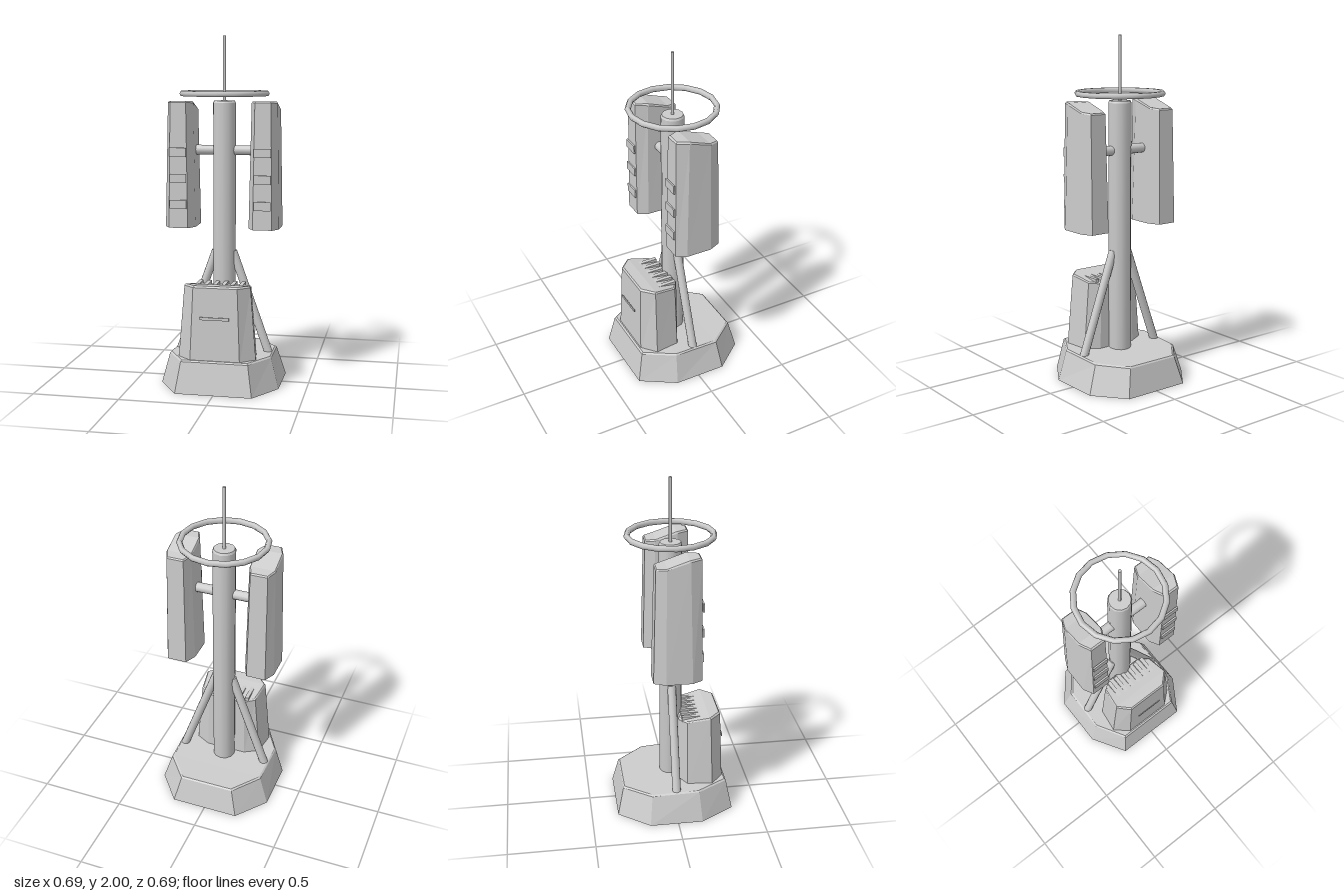
import * as THREE from 'three';

const gray = new THREE.MeshStandardMaterial({ color: 0xcccccc });
gray.name = 'light gray';

function add(parent, name, geometry, x = 0, y = 0, z = 0) {
  const mesh = new THREE.Mesh(geometry, gray);
  mesh.name = name;
  mesh.position.set(x, y, z);
  parent.add(mesh);
  return mesh;
}

// Faceted solid lofted through octagonal sections.
// A section is four rows from back to front: [z, half width, y].
function loft(sections) {
  const n = 8;
  const pos = [], index = [];
  for (const rows of sections) {
    for (const [z, w, y] of rows) pos.push(-w, y, z);
    for (const [z, w, y] of [...rows].reverse()) pos.push(w, y, z);
  }
  const quad = (a, b, c, d) => index.push(a, b, c, a, c, d);
  for (let s = 0; s < sections.length - 1; s++) {
    for (let i = 0; i < n; i++) {
      const j = (i + 1) % n, o = s * n;
      quad(o + i, o + j, o + n + j, o + n + i);
    }
  }
  const top = (sections.length - 1) * n;
  for (let i = 0; i < 3; i++) {
    quad(top + i, top + i + 1, top + 6 - i, top + 7 - i);
    quad(7 - i, 6 - i, i + 1, i);
  }
  const g = new THREE.BufferGeometry();
  g.setAttribute('position', new THREE.Float32BufferAttribute(pos, 3));
  g.setIndex(index);
  const flat = g.toNonIndexed();
  flat.computeVertexNormals();
  return flat;
}

// Round bar between two points
function bar(parent, name, a, b, radius) {
  const dir = b.clone().sub(a);
  const mesh = add(parent, name, new THREE.CylinderGeometry(radius, radius, dir.length(), 12));
  mesh.position.copy(a).addScaledVector(dir, 0.5);
  mesh.quaternion.setFromUnitVectors(new THREE.Vector3(0, 1, 0), dir.normalize());
  return mesh;
}

export function createModel() {
  const model = new THREE.Group();
  model.name = 'antennaTower';

  // Sloped octagonal foot
  add(model, 'base', loft([
    [[-0.343, 0.2, 0], [-0.165, 0.343, 0], [0.145, 0.343, 0], [0.343, 0.22, 0]],
    [[-0.306, 0.162, 0.16], [-0.147, 0.29, 0.165], [0.13, 0.297, 0.176], [0.308, 0.192, 0.178]],
    [[-0.298, 0.155, 0.168], [-0.142, 0.28, 0.172], [0.127, 0.289, 0.184], [0.298, 0.187, 0.186]],
  ]));

  // Equipment cabinet with sloped lid, cooling fins and a front slot
  const cabinet = new THREE.Group();
  cabinet.name = 'cabinet';
  model.add(cabinet);
  add(cabinet, 'cabinetBody', loft([
    [[0.03, 0.12, 0.16], [0.075, 0.205, 0.16], [0.22, 0.225, 0.16], [0.292, 0.143, 0.16]],
    [[0.035, 0.112, 0.57], [0.075, 0.172, 0.575], [0.211, 0.19, 0.598], [0.277, 0.126, 0.6]],
    [[0.042, 0.106, 0.577], [0.08, 0.165, 0.582], [0.206, 0.184, 0.607], [0.269, 0.12, 0.61]],
  ]));
  for (let i = 0; i < 6; i++) {
    add(cabinet, 'coolingFin', new THREE.BoxGeometry(0.023, 0.03, 0.115), (i - 2.5) * 0.05, 0.583, 0.108);
  }
  add(cabinet, 'frontSlot', new THREE.BoxGeometry(0.166, 0.016, 0.005), 0, 0.43, 0.299);

  // Central pole with chamfered top, and whip mast
  const profile = [[0, 0.16], [0.066, 0.16], [0.066, 1.622]].map(p => new THREE.Vector2(...p));
  add(model, 'pole', new THREE.LatheGeometry(profile, 12));
  add(model, 'poleRim', new THREE.CylinderGeometry(0.06, 0.066, 0.012, 12), 0, 1.628, 0);
  add(model, 'mast', new THREE.CylinderGeometry(0.009, 0.009, 0.38, 10), 0, 1.81, 0);

  // Halo ring
  const ring = add(model, 'ring', new THREE.TorusGeometry(0.243, 0.017, 6, 16), 0, 1.675, 0);
  ring.rotation.x = Math.PI / 2;

  // Horizontal support between the panels
  bar(model, 'crossBar', new THREE.Vector3(-0.18, 1.352, 0), new THREE.Vector3(0.18, 1.352, 0), 0.028);

  // Tapered antenna panel with stepped top
  const panelGeometry = loft([
    [[-0.137, 0.056, 0.913], [-0.07, 0.087, 0.913], [0.08, 0.087, 0.913], [0.137, 0.055, 0.913]],
    [[-0.12, 0.049, 1.575], [-0.063, 0.074, 1.582], [0.065, 0.074, 1.622], [0.131, 0.045, 1.625]],
    [[-0.114, 0.046, 1.583], [-0.06, 0.069, 1.59], [0.06, 0.069, 1.631], [0.122, 0.041, 1.633]],
  ]);
  for (const side of [1, -1]) {
    const prefix = side > 0 ? 'left' : 'right';
    const panel = new THREE.Group();
    panel.name = prefix + 'AntennaPanel';
    panel.position.x = side * 0.242;
    model.add(panel);
    add(panel, 'panelBody', panelGeometry);
    for (const y of [1.347, 1.198, 1.049]) {
      add(panel, 'frontPlate', new THREE.BoxGeometry(0.096, 0.05, 0.009), 0, y, 0.142);
    }

    // Diagonal brace from pole to base
    bar(model, prefix + 'Brace', new THREE.Vector3(side * 0.05, 0.765, 0),
      new THREE.Vector3(side * 0.268, 0.155, 0), 0.025);
  }
  return model;
}
